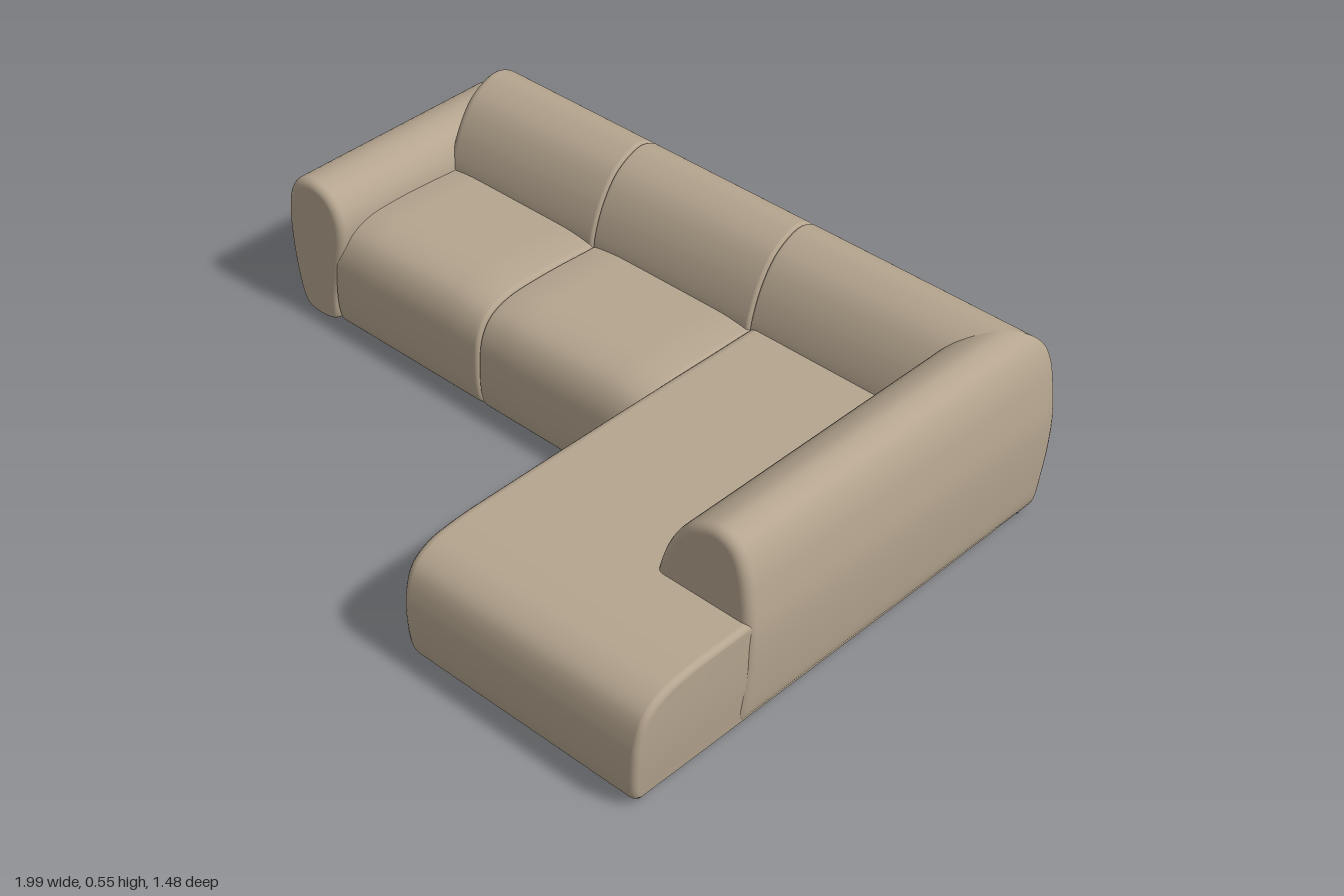
import * as THREE from 'three';

// Smooth closed outline through a few (u, y) points
function outline(points, n = 64) {
  const curve = new THREE.CatmullRomCurve3(points.map(([u, y]) => new THREE.Vector3(u, y, 0)), true, 'centripetal');
  return curve.getPoints(n).slice(0, n);
}

// Skin an outline through stations { place(u, y) -> Vector3, inset }, closing both ends
function loft(profile, stations) {
  const box = new THREE.Box3().setFromPoints(profile);
  const c = box.getCenter(new THREE.Vector3());
  const half = box.getSize(new THREE.Vector3()).multiplyScalar(0.5);
  const n = profile.length, pos = [], index = [];
  for (const { place, inset } of stations) {
    for (const p of profile) {
      const u = c.x + (p.x - c.x) * (1 - inset / half.x);
      const k = p.y > c.y ? inset : inset * 0.3;
      pos.push(...place(u, c.y + (p.y - c.y) * (1 - k / half.y)).toArray());
    }
  }
  for (let s = 0; s < stations.length - 1; s++) {
    for (let i = 0; i < n; i++) {
      const j = (i + 1) % n, a = s * n, b = a + n;
      index.push(a + i, a + j, b + i, a + j, b + j, b + i);
    }
  }
  const last = (stations.length - 1) * n, mid = pos.length / 3;
  pos.push(...stations[0].place(c.x, c.y).toArray());
  pos.push(...stations.at(-1).place(c.x, c.y).toArray());
  for (let i = 0; i < n; i++) {
    const j = (i + 1) % n;
    index.push(mid, j, i, mid + 1, last + i, last + j);
  }
  // Turn the faces outward if the enclosed volume is negative
  let volume = 0;
  const v = (i) => new THREE.Vector3().fromArray(pos, i * 3);
  for (let i = 0; i < index.length; i += 3) volume += v(index[i]).dot(v(index[i + 1]).cross(v(index[i + 2])));
  if (volume < 0) index.reverse();
  const geo = new THREE.BufferGeometry();
  geo.setAttribute('position', new THREE.Float32BufferAttribute(pos, 3));
  geo.setIndex(index);
  geo.computeVertexNormals();
  return geo;
}

// Quarter-round steps for a soft end; dir is +1 at the start and -1 at the finish
function softEnd(at, dir, r, place) {
  const steps = [];
  for (let i = 0; i <= 5; i++) {
    const a = (i / 5) * Math.PI / 2;
    const t = at + dir * r * (1 - Math.cos(a));
    steps.push({ place: (u, y) => place(u, y, t), inset: r * (1 - Math.sin(a)) });
  }
  return dir > 0 ? steps : steps.reverse();
}

function straight(a, b, r, place, rEnd = r) {
  return [...softEnd(a, 1, r, place), ...softEnd(b, -1, rEnd, place)];
}

export function createModel() {
  const group = new THREE.Group();
  const fabric = new THREE.MeshStandardMaterial({ color: 0xb5a58f });
  fabric.name = 'taupe fabric';
  const black = new THREE.MeshStandardMaterial({ color: 0x141414 });
  black.name = 'black feet';
  const add = (name, geo, mat = fabric) => {
    const mesh = new THREE.Mesh(geo, mat);
    mesh.name = name;
    group.add(mesh);
    return mesh;
  };

  // Armrest: bulging top, narrower at the floor
  const arm = outline([
    [-1, 0.28], [-0.99, 0.36], [-0.96, 0.405], [-0.9, 0.422], [-0.84, 0.405], [-0.805, 0.365], [-0.79, 0.31],
    [-0.8, 0.2], [-0.818, 0.1], [-0.822, 0.03], [-0.835, 0.017], [-0.93, 0.017], [-0.955, 0.04], [-0.985, 0.14],
  ]);
  add('armrest', loft(arm, straight(-0.74, -0.04, 0.022, (u, y, t) => new THREE.Vector3(u, y, t))));

  // Two seats with softly crowned tops
  const seat = outline([
    [-0.5, 0.03], [-0.5, 0.3], [-0.48, 0.32], [-0.42, 0.326], [-0.25, 0.332], [-0.14, 0.324], [-0.08, 0.295],
    [-0.048, 0.24], [-0.038, 0.15], [-0.045, 0.05], [-0.06, 0.02], [-0.1, 0.018], [-0.45, 0.018], [-0.49, 0.02],
  ]);
  [[-0.82, -0.286], [-0.284, 0.255]].forEach(([a, b], i) => {
    const crowned = (u, y, t) => {
      const edge = Math.min(1, Math.min(t - a, b - t) / 0.12);
      return new THREE.Vector3(t, y - 0.012 * (1 - edge) ** 2 * Math.max(0, y - 0.2) / 0.13, u);
    };
    const stations = straight(a, b, 0.012, crowned);
    const between = [0.03, 0.06, 0.09, 0.12];
    const inner = [...between.map((o) => a + o), ...between.map((o) => b - o).reverse()]
      .map((t) => ({ place: (u, y) => crowned(u, y, t), inset: 0 }));
    stations.splice(6, 0, ...inner);
    add('seat' + (i + 1), loft(seat, stations));
  });

  // Chaise: long seat, leaning in towards the floor on its outer side
  const chaise = outline([
    [-0.6, 0.03], [-0.6, 0.3], [-0.55, 0.32], [-0.3, 0.328], [0.4, 0.331], [0.58, 0.327], [0.66, 0.312], [0.71, 0.275],
    [0.733, 0.2], [0.735, 0.12], [0.725, 0.045], [0.71, 0.02], [0.68, 0.018], [-0.5, 0.018], [-0.58, 0.02],
  ], 90);
  const lean = (u, y, t) => {
    const k = 0.025 * Math.max(0, (0.3 - y) / 0.3) ** 2;
    return new THREE.Vector3(t > 0.6 ? t - k : t + 0.4 * k, y, u);
  };
  add('chaise', loft(chaise, straight(0.247, 0.985, 0.03, lean, 0.016)));

  // Backrest outline: depth from the outer face, height
  const back = outline([
    [0.028, 0.022], [0.01, 0.12], [0, 0.28], [0.008, 0.38], [0.025, 0.47], [0.055, 0.525], [0.105, 0.545], [0.155, 0.532],
    [0.205, 0.498], [0.25, 0.43], [0.278, 0.35], [0.285, 0.3], [0.285, 0.05], [0.27, 0.018], [0.05, 0.016],
  ]);
  const outerX = 0.99, outerZ = -0.74;
  const alongX = (d, y, t) => new THREE.Vector3(t, y, outerZ + d);
  const alongZ = (d, y, t) => new THREE.Vector3(outerX - d, y, t);
  add('backrest1', loft(back, straight(-0.82, -0.286, 0.025, alongX, 0.01)));
  add('backrest2', loft(back, straight(-0.284, 0.249, 0.01, alongX)));

  // Corner backrest: mitred inside, slightly rounded outside
  const r = 0.035, corner = [];
  for (let i = 0; i <= 6; i++) {
    const a = (i / 6) * Math.PI / 2;
    corner.push({
      inset: 0,
      place: (d, y) => {
        if (d >= r) return new THREE.Vector3(outerX - d, y, outerZ + d);
        return new THREE.Vector3(outerX - r + (r - d) * Math.sin(a), y, outerZ + r - (r - d) * Math.cos(a));
      },
    });
  }
  add('cornerBackrest', loft(back, [
    ...softEnd(0.251, 1, 0.01, alongX), ...corner, ...softEnd(0.385, -1, 0.025, alongZ),
  ]));

  // Small round feet
  const footGeo = new THREE.CylinderGeometry(0.016, 0.014, 0.022, 16);
  const feet = [
    [-0.89, -0.1], [-0.89, -0.68], [0.2, -0.1], [0.2, -0.68], [0.29, -0.68], [0.29, 0.68], [0.935, -0.68], [0.935, 0.38], [0.935, 0.68],
  ];
  for (const [x, z] of feet) add('foot', footGeo, black).position.set(x, 0.011, z);

  return group;
}
